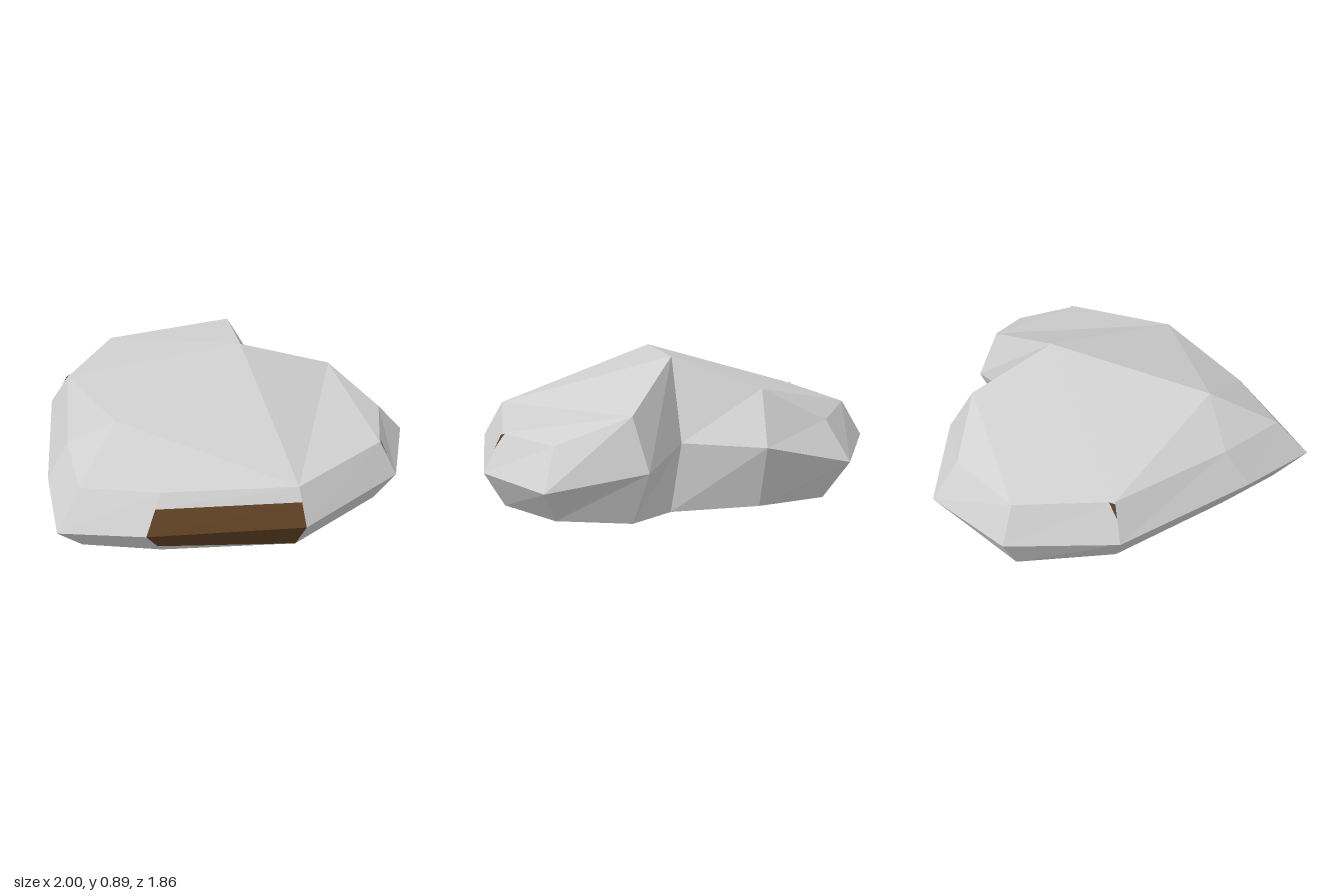
import * as THREE from 'three';

const grey = new THREE.MeshStandardMaterial({ color: 0xd0d0d0 });
grey.name = 'stoneGrey';
const brown = new THREE.MeshStandardMaterial({ color: 0x5e4024, side: THREE.DoubleSide });
brown.name = 'bandBrown';

const V = (a) => new THREE.Vector3(...a);
const mix = (a, b, t) => a.clone().lerp(b, t);

// Heart outlines, anticlockwise from the front tip, as x, y, z
const girdle = [
  [-0.05, 0.41, 0.93], [0.31, 0.41, 0.68], [0.88, 0.41, 0.13], [1, 0.41, -0.53],
  [0.80, 0.41, -0.92], [0.31, 0.46, -0.93], [0.03, 0.48, -0.57], [-0.27, 0.53, -0.93],
  [-0.72, 0.41, -0.90], [-1, 0.41, -0.47], [-0.90, 0.41, 0.08], [-0.38, 0.43, 0.65],
].map(V);
// Upper and lower rims share x and z; the last point is the inner peak
const rim = [
  [-0.05, 0.76], [0.29, 0.54], [0.79, 0.08], [0.90, -0.50], [0.72, -0.79], [0.36, -0.83],
  [0.04, -0.44], [-0.30, -0.78], [-0.64, -0.78], [-0.90, -0.44], [-0.80, 0.04], [-0.35, 0.52],
];
const upperY = [0.59, 0.59, 0.59, 0.59, 0.59, 0.71, 0.89, 0.78, 0.60, 0.59, 0.59, 0.60];
const lowerY = [0.23, 0.23, 0.23, 0.23, 0.23, 0.19, 0.08, 0.19, 0.20, 0.22, 0.25, 0.265];
const upper = rim.map(([x, z], i) => V([x, upperY[i], z]));
const lower = rim.map(([x, z], i) => V([x, lowerY[i], z]));
upper.push(V([-0.11, 0.775, 0.41]));
lower.push(V([0, 0, 0.16]));

// Triangles of the faceted caps
const cap = [
  [12, 0, 1], [12, 1, 2], [12, 2, 6], [2, 5, 6], [2, 3, 5], [3, 4, 5],
  [6, 7, 9], [7, 8, 9], [6, 9, 10], [6, 10, 12], [10, 11, 12], [11, 0, 12],
];

// Flat-faced mesh from a list of triangles
function facets(name, points, material) {
  const g = new THREE.BufferGeometry().setFromPoints(points);
  g.computeVertexNormals();
  const m = new THREE.Mesh(g, material);
  m.name = name;
  return m;
}
const quad = (a, b, c, d) => [a, b, c, a, c, d];

// Height of the underside at x, z
function undersideY(x, z) {
  const p = V([x, 0, z]), w = new THREE.Vector3();
  for (const t of cap) {
    const [a, b, c] = t.map((i) => lower[i]);
    const flat = [a, b, c].map((v) => V([v.x, 0, v.z]));
    THREE.Triangle.getBarycoord(p, ...flat, w);
    if (Math.min(w.x, w.y, w.z) > -1e-4) return a.y * w.x + b.y * w.y + c.y * w.z;
  }
  return 0.23;
}

// Ribbon that follows the underside along a path of x, z points
function undersideBand(path, half) {
  const pts = path.map(([x, z]) => new THREE.Vector2(x, z));
  const side = pts.map((p, i) => {
    const d0 = p.clone().sub(pts[Math.max(i - 1, 0)]).normalize();
    const d1 = pts[Math.min(i + 1, pts.length - 1)].clone().sub(p).normalize();
    const d = d0.clone().add(d1).normalize();
    const ref = d1.lengthSq() > 0 ? d1 : d0;
    return new THREE.Vector2(-d.y, d.x).multiplyScalar(half / d.dot(ref));
  });
  const out = [], N = 24, M = 6;
  for (let i = 0; i < pts.length - 1; i++) {
    const at = (u, v) => {
      const a = pts[i].clone().addScaledVector(side[i], v * 2 - 1);
      const b = pts[i + 1].clone().addScaledVector(side[i + 1], v * 2 - 1);
      a.lerp(b, u);
      return V([a.x, undersideY(a.x, a.y) - 0.005, a.y]);
    };
    for (let j = 0; j < N; j++) for (let k = 0; k < M; k++) {
      out.push(...quad(at(j / N, k / M), at((j + 1) / N, k / M),
        at((j + 1) / N, (k + 1) / M), at(j / N, (k + 1) / M)));
    }
  }
  return facets('undersideBand', out, brown);
}

export function createModel() {
  const model = new THREE.Group();
  model.name = 'facetedHeart';

  // Faceted top and underside
  model.add(facets('topFacets', cap.flatMap((t) => t.map((i) => upper[i])), grey));
  model.add(facets('undersideFacets', cap.flatMap(([a, b, c]) => [lower[a], lower[c], lower[b]]), grey));

  // Bevelled sides, with a brown band on the facet left of the tip
  const sides = [], band = [];
  for (let i = 0; i < 12; i++) {
    const j = (i + 1) % 12;
    if (i === 1) {
      const ui = mix(girdle[i], upper[i], 0.62), uj = mix(girdle[j], upper[j], 0.62);
      const li = mix(girdle[i], lower[i], 0.73);
      band.push(...quad(girdle[i], girdle[j], uj, ui), ...quad(li, lower[j], girdle[j], girdle[i]));
      sides.push(...quad(ui, uj, upper[j], upper[i]), lower[i], lower[j], li);
    } else {
      sides.push(...quad(girdle[i], girdle[j], upper[j], upper[i]));
      sides.push(...quad(lower[i], lower[j], girdle[j], girdle[i]));
    }
  }
  model.add(facets('sideFacets', sides, grey));
  model.add(facets('sideBand', band, brown));

  // Brown band across the underside
  model.add(undersideBand([[0.82, -0.57], [0.26, 0.07], [-0.02, -0.19], [-0.51, -0.70]], 0.065));

  // Tiny brown chips at two rim corners
  for (const [i, j] of [[10, 9], [3, 4]]) {
    const out = girdle[i].clone().setY(0.5).normalize().multiplyScalar(0.004);
    const chip = [mix(upper[i], girdle[i], 0.05), mix(upper[i], girdle[i], 0.4), mix(upper[i], upper[j], 0.06)];
    model.add(facets('rimChip', chip.map((p) => p.clone().add(out)), brown));
  }
  return model;
}
